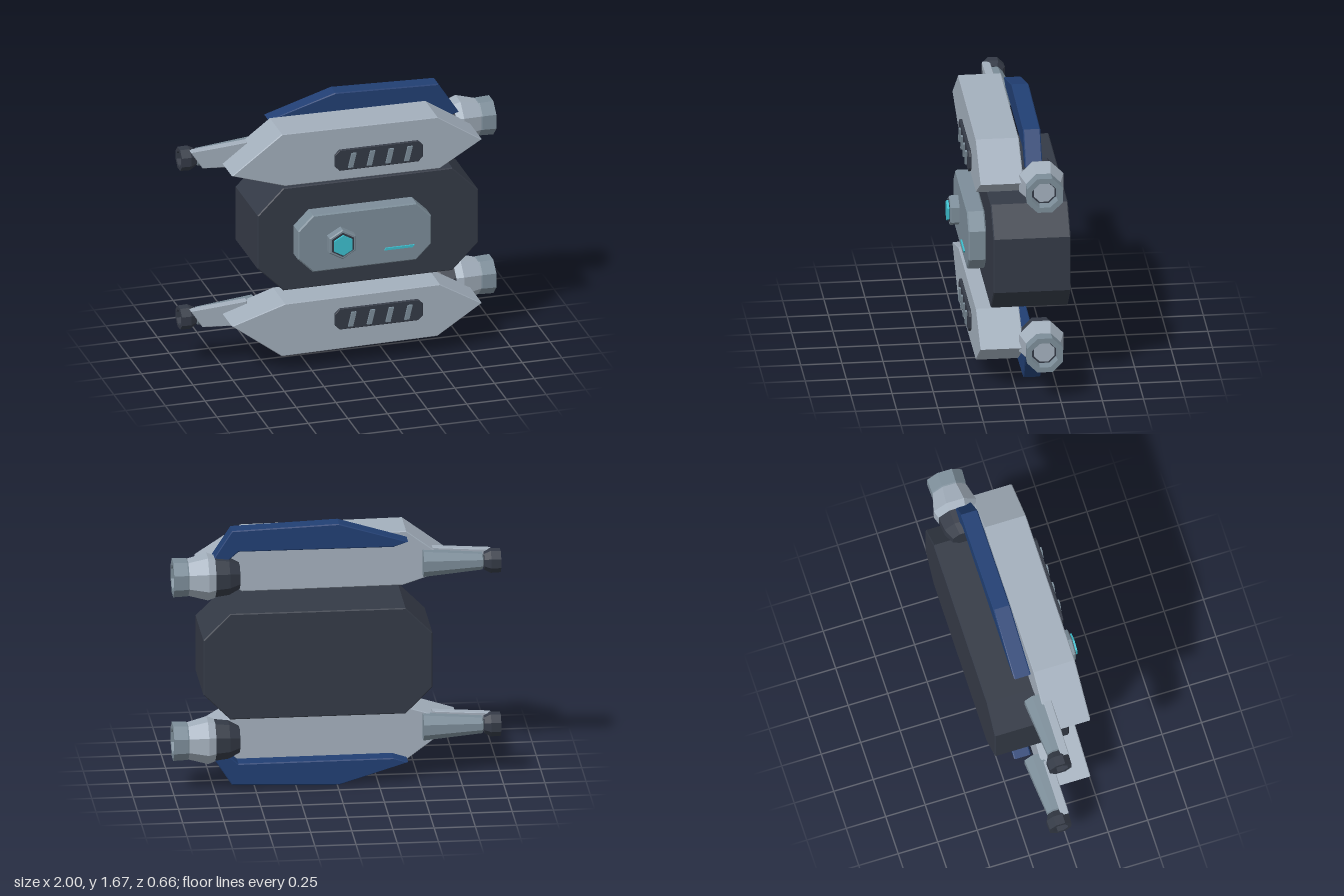
import * as THREE from 'three';

const MID = 0.84;        // height of the mirror line between both pods
const POD_STEP = -1.047; // offset from upper to lower pod equipment

const mat = (name, color) => {
  const m = new THREE.MeshStandardMaterial({ color });
  m.name = name;
  return m;
};

// Flat plate cut from an outline, spanning z0..z1, with an optional small bevel
function slab(name, points, z0, z1, material, bevel = 0) {
  const shape = new THREE.Shape(points.map(([x, y]) => new THREE.Vector2(x, y)));
  const geo = new THREE.ExtrudeGeometry(shape, {
    depth: z1 - z0 - 2 * bevel, bevelEnabled: bevel > 0,
    bevelThickness: bevel, bevelSize: bevel, bevelOffset: -bevel, bevelSegments: 1,
  });
  geo.translate(0, 0, z0 + bevel);
  const mesh = new THREE.Mesh(geo, material);
  mesh.name = name;
  return mesh;
}

// Faceted eight-sided turning along x; profile is [x, apothem]
function turned(name, profile, y, z, material) {
  const k = 1 / Math.cos(Math.PI / 8);
  const pts = profile.map(([x, r]) => new THREE.Vector2(r * k, x));
  let geo = new THREE.LatheGeometry(pts, 8, Math.PI / 8).toNonIndexed();
  geo.rotateZ(-Math.PI / 2);
  geo.computeVertexNormals();
  const mesh = new THREE.Mesh(geo, material);
  mesh.name = name;
  mesh.position.set(0, y, z);
  return mesh;
}

// Rectangle with chamfered corners
const octagon = (x0, x1, y0, y1, c) => [
  [x0 + c, y0], [x1 - c, y0], [x1, y0 + c], [x1, y1 - c],
  [x1 - c, y1], [x0 + c, y1], [x0, y1 - c], [x0, y0 + c],
];

// Hexagon with a corner at the top
const hexagon = (cx, cy, r) => Array.from({ length: 6 }, (_, i) => {
  const a = Math.PI / 6 + i * Math.PI / 3;
  return [cx + r * Math.cos(a), cy + r * Math.sin(a)];
});

export function createModel() {
  const hullGrey = mat('hull grey', 0xa3afbc);
  const slate = mat('slate', 0x7c8d99);
  const dark = mat('charcoal', 0x343a46);
  const navy = mat('navy', 0x213f73);
  const cyan = mat('cyan glow', 0x3cbfce);

  const model = new THREE.Group();
  model.name = 'twinPodCraft';

  // Central body with its face plate, hexagonal lamp and light strip
  const core = new THREE.Group();
  core.name = 'core';
  core.add(
    slab('coreBody', octagon(-0.56, 0.83, 0.505, 1.18, 0.163), -0.327, 0.142, dark, 0.006),
    slab('facePlate', octagon(-0.34, 0.5, 0.655, 1.03, 0.095), 0.15, 0.258, slate, 0.008),
    slab('lampHousing', hexagon(-0.075, MID, 0.097), 0.25, 0.314, slate, 0.006),
    slab('lampRim', hexagon(-0.075, MID, 0.079), 0.31, 0.317, dark),
    slab('lamp', hexagon(-0.075, MID, 0.066), 0.31, 0.33, cyan),
    slab('lightStrip', [[0.2, 0.75], [0.375, 0.75], [0.39, 0.765], [0.21, 0.765]], 0.266, 0.275, cyan),
  );
  model.add(core);

  const hullOutline = [[-0.745, 1.335], [-0.41, 1.228], [0.565, 1.222], [0.83, 1.38], [0.55, 1.562], [-0.43, 1.572]];
  const finOutline = [[-0.43, 1.545], [-0.34, 1.515], [0.6, 1.518], [0.7, 1.43], [0.77, 1.45], [0.64, 1.652], [-0.01, 1.675]];

  for (const lower of [false, true]) {
    const pod = new THREE.Group();
    pod.name = lower ? 'lowerPod' : 'upperPod';
    const flip = (pts) => (lower ? pts.map(([x, y]) => [x, 2 * MID - y]) : pts);

    // Hull and outer fin are mirrored between the pods
    pod.add(
      slab('podHull', flip(hullOutline), -0.042, 0.22, hullGrey, 0.005),
      slab('fin', flip(finOutline), -0.163, -0.058, navy, 0.006),
    );

    // Equipment keeps the same orientation on both pods
    const gear = new THREE.Group();
    gear.name = 'podEquipment';
    gear.position.y = lower ? POD_STEP : 0;

    // Vent panel with slanted slats
    gear.add(slab('ventPanel', octagon(-0.105, 0.45, 1.3, 1.435, 0.03), 0.234, 0.252, dark, 0.003));
    for (let i = 0; i < 4; i++) {
      const x = 0.001 + i * 0.118;
      gear.add(slab('ventSlat',
        [[x - 0.026, 1.318], [x + 0.004, 1.318], [x + 0.026, 1.41], [x - 0.004, 1.41]],
        0.25, 0.264, slate));
    }

    // Thruster: dark intake, grey bell and hollow nozzle
    const ey = 1.365, ez = -0.152;
    gear.add(
      turned('thrusterIntake', [[0.595, 0], [0.595, 0.075], [0.66, 0.107], [0.745, 0.117], [0.745, 0]], ey, ez, dark),
      turned('thrusterBell', [[0.745, 0], [0.745, 0.12], [0.79, 0.134], [0.91, 0.104], [0.91, 0]], ey, ez, hullGrey),
      turned('nozzle', [[0.905, 0], [0.905, 0.104], [0.915, 0.107], [1, 0.11], [1, 0.078], [0.93, 0.072]], ey, ez, slate),
      turned('nozzleLiner', [[0.94, 0.078], [0.94, 0.06]], ey, ez, dark),
      turned('nozzleCore', [[0.945, 0.062], [0.945, 0]], ey, ez, hullGrey),
    );

    // Tapered barrel with a dark hollow muzzle and a guard plate
    const by = 1.37, bz = -0.05;
    gear.add(
      turned('barrel', [[-0.91, 0], [-0.89, 0.05], [-0.53, 0.08], [-0.53, 0]], by, bz, slate),
      turned('muzzle', [[-0.93, 0], [-0.93, 0.046], [-1, 0.046], [-1, 0.068], [-0.94, 0.07], [-0.9, 0.05], [-0.9, 0]], by, bz, dark),
      slab('barrelGuard',
        [[-0.945, 1.433], [-0.87, 1.318], [-0.59, 1.297], [-0.59, 1.458], [-0.8, 1.443]],
        -0.03, 0.02, hullGrey, 0.004),
    );
    pod.add(gear);
    model.add(pod);
  }
  return model;
}
